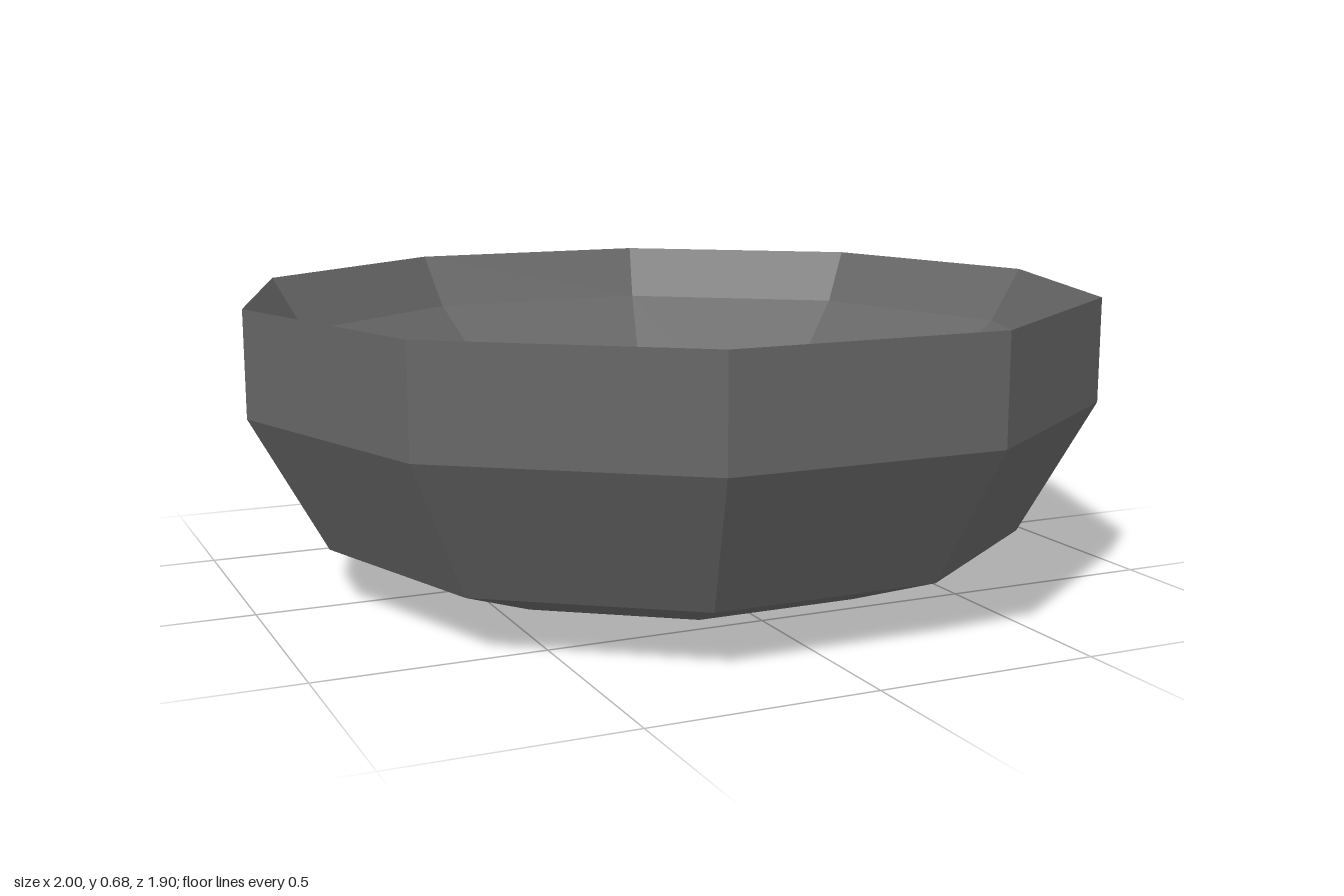
import * as THREE from 'three';

const SIDES = 10;

// Ten-sided faceted surface with corners on the x axis
function facetedRing(name, profile, material) {
  const points = profile.map(([r, y]) => new THREE.Vector2(r, y));
  const mesh = new THREE.Mesh(new THREE.LatheGeometry(points, SIDES, Math.PI / 2), material);
  mesh.name = name;
  return mesh;
}

export function createModel() {
  const group = new THREE.Group();
  group.name = 'bowl';
  const material = new THREE.MeshStandardMaterial({ color: 0x666666, flatShading: true });

  // Outside: shallow base, sloping wall, upright band up to the sharp rim
  group.add(facetedRing('outerBase', [[0, 0], [0.32, 0], [0.6, 0.045], [0.83, 0.13]], material));
  group.add(facetedRing('outerWall', [[0.83, 0.13], [1, 0.44], [1, 0.68]], material));

  // Inside: bevelled lip, sloping wall and flat floor
  group.add(facetedRing('innerWall', [[1, 0.68], [0.92, 0.55], [0.52, 0.21]], material));
  group.add(facetedRing('innerFloor', [[0.52, 0.21], [0, 0.21]], material));
  return group;
}
